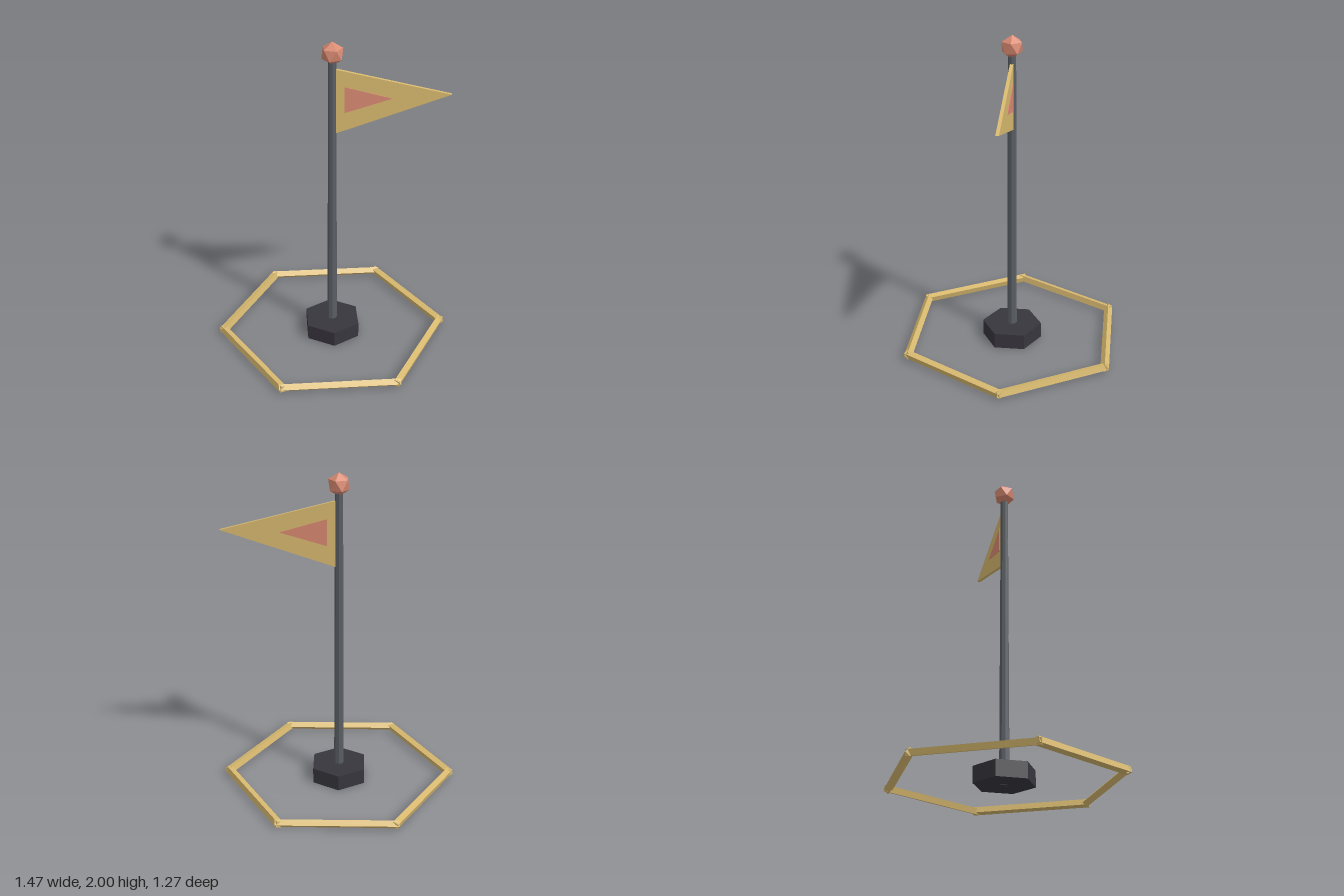
import * as THREE from 'three';

export function createModel() {
  const model = new THREE.Group();

  const material = (name, color) => {
    const m = new THREE.MeshStandardMaterial({ color, flatShading: true });
    m.name = name;
    return m;
  };
  const gold = material('gold', 0xd8b96f);
  const coral = material('coral', 0xd98a72);
  const steel = material('steel grey', 0x5a5f64);
  const charcoal = material('charcoal', 0x38363e);

  const add = (name, geometry, mat, parent = model) => {
    const mesh = new THREE.Mesh(geometry, mat);
    mesh.name = name;
    parent.add(mesh);
    return mesh;
  };

  // Hexagonal foot and slightly tapered pole
  add('base', new THREE.CylinderGeometry(0.187, 0.187, 0.1, 6), charcoal).position.y = 0.05;
  add('pole', new THREE.CylinderGeometry(0.024, 0.031, 1.9, 8), steel).position.y = 0.95;

  // Faceted finial with one vertex pointing straight up
  const finial = add('finial', new THREE.IcosahedronGeometry(0.07, 0), coral);
  finial.position.y = 1.93;
  finial.rotation.z = -Math.atan(2 / (1 + Math.sqrt(5)));

  // Triangular plates centred on z = 0
  const pennant = (points, depth) => {
    const shape = new THREE.Shape(points.map(([x, y]) => new THREE.Vector2(x, y)));
    return new THREE.ExtrudeGeometry(shape, { depth, bevelEnabled: false }).translate(0, 0, -depth / 2);
  };
  add('flag', pennant([[0.015, 1.427], [0.7, 1.654], [0.015, 1.834]], 0.02), gold);
  add('flagEmblem', pennant([[0.07, 1.56], [0.35, 1.642], [0.07, 1.724]], 0.028), coral);

  // Ground ring of six four-sided bars
  const ring = new THREE.Group();
  ring.name = 'groundRing';
  model.add(ring);
  const up = new THREE.Vector3(0, 1, 0);
  const barGeometry = new THREE.CylinderGeometry(0.0265, 0.0265, 0.74, 4);
  const corner = (i) => {
    const a = (i * Math.PI) / 3;
    return new THREE.Vector3(Math.cos(a) * 0.704, 0.032, Math.sin(a) * 0.704);
  };
  for (let i = 0; i < 6; i++) {
    const a = corner(i), b = corner(i + 1);
    const bar = add('ringBar', barGeometry, gold, ring);
    bar.position.copy(a).add(b).multiplyScalar(0.5);
    bar.quaternion.setFromUnitVectors(up, b.sub(a).normalize());
  }

  return model;
}
